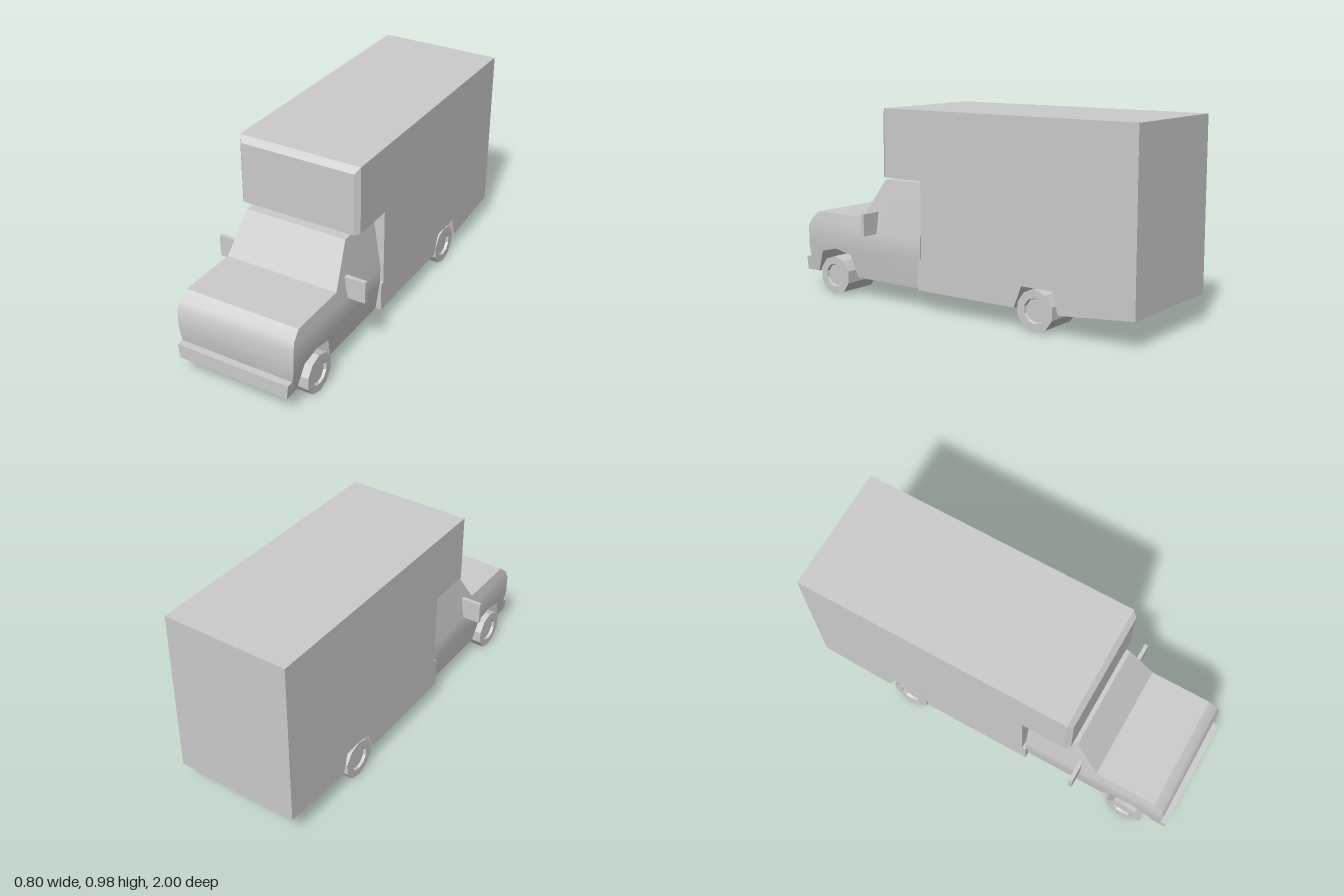
import * as THREE from 'three';
import { mergeGeometries, toCreasedNormals } from 'three/addons/utils/BufferGeometryUtils.js';

const FRONT_AXLE = 0.775, REAR_AXLE = -0.48, WELL_X = 0.11, HALF = 0.32;

// Extrude a side profile of [z, y] points across x0..x1
function slab(profile, x0, x1) {
  const shape = new THREE.Shape(profile.map(([z, y]) => new THREE.Vector2(z, y)));
  return new THREE.ExtrudeGeometry(shape, { depth: x1 - x0, bevelEnabled: false, steps: 1 })
    .rotateY(-Math.PI / 2).translate(x1, 0, 0);
}

// Move every vertex by a rule
function deform(geometry, rule) {
  const p = geometry.attributes.position, v = new THREE.Vector3();
  for (let i = 0; i < p.count; i++) {
    rule(v.fromBufferAttribute(p, i));
    p.setXYZ(i, v.x, v.y, v.z);
  }
  geometry.computeVertexNormals();
  return geometry;
}

// Lower body: solid middle with wheel wells that narrow inward on both sides
function lowerBody(outline, arch, axle) {
  const narrow = (v) => {
    const onArch = arch.some(([z, y]) => Math.abs(z - v.z) < 1e-4 && Math.abs(y - v.y) < 1e-4);
    if (onArch && Math.abs(v.x) < WELL_X + 0.01) v.z = axle + (v.z - axle) * 0.85;
  };
  const withArch = [...outline, ...arch];
  return [
    slab(outline, -WELL_X, WELL_X),
    deform(slab(withArch, WELL_X, HALF), narrow),
    deform(slab(withArch, -HALF, -WELL_X), narrow),
  ];
}

// Half width of the cab at height y
function cabHalfWidth(y) {
  if (y < 0.25) return THREE.MathUtils.mapLinear(y, 0.1, 0.25, 0.29, 0.31);
  if (y < 0.34) return 0.31;
  return THREE.MathUtils.mapLinear(y, 0.34, 0.62, 0.31, 0.267);
}

export function createModel() {
  const group = new THREE.Group();
  const grey = new THREE.MeshStandardMaterial({ color: 0xcccccc });
  const flat = new THREE.MeshStandardMaterial({ color: 0xcccccc, flatShading: true });
  const add = (name, geometry, material = flat) => {
    const mesh = new THREE.Mesh(geometry, material);
    mesh.name = name;
    group.add(mesh);
    return mesh;
  };
  const box = (x0, x1, y0, y1, z0, z1) => new THREE.BoxGeometry(x1 - x0, y1 - y0, z1 - z0)
    .translate((x0 + x1) / 2, (y0 + y1) / 2, (z0 + z1) / 2);

  // Cargo box with an overhang above the cab
  add('cargoBox', slab([[-1, 0.25], [0.19, 0.25], [0.19, 0.64], [0.415, 0.64], [0.415, 0.98], [-1, 0.98]], -HALF, HALF));
  const rearArch = [[-0.605, 0.1], [-0.575, 0.205], [-0.405, 0.205], [-0.365, 0.1]];
  const cargoOutline = [[0.19, 0.1], [0.19, 0.25], [-1, 0.25], [-1, 0.133], [-0.62, 0.1]];
  add('cargoLowerBody', mergeGeometries(lowerBody(cargoOutline, rearArch, REAR_AXLE)));

  // Bevelled front of the overhang
  add('overhangFront', deform(box(-HALF, HALF, 0.64, 0.98, 0.415, 0.44), (v) => {
    if (v.z > 0.43) {
      v.x = Math.sign(v.x) * 0.3;
      v.y = Math.min(v.y, 0.95);
    }
  }));

  // Cab in height bands, so that each side panel stays flat as the width changes
  const frontArch = [[0.64, 0.1], [0.675, 0.215], [0.775, 0.238], [0.875, 0.215], [0.92, 0.1]];
  const cabLower = [[0.945, 0.1], [0.965, 0.17], [0.97, 0.25], [0.205, 0.25], [0.205, 0.1]];
  const cabMiddle = [[0.205, 0.25], [0.97, 0.25], [0.968, 0.34], [0.205, 0.34]];
  const cabUpper = [[0.205, 0.34], [0.968, 0.34], [0.95, 0.38], [0.905, 0.42], [0.59, 0.42], [0.46, 0.62], [0.205, 0.62]];
  const cabParts = [
    ...lowerBody(cabLower, frontArch, FRONT_AXLE),
    slab(cabMiddle, -HALF, HALF),
    slab(cabUpper, -HALF, HALF),
  ].map((g) => deform(g, (v) => {
    if (Math.abs(v.x) > 0.2) v.x = Math.sign(v.x) * cabHalfWidth(v.y);
  }));
  add('cab', toCreasedNormals(mergeGeometries(cabParts), 0.55), grey);

  // Link between cab and cargo box
  add('chassisLink', box(-HALF, HALF, 0.1, 0.25, 0.185, 0.21));

  // Front bumper, slightly narrower at the bottom
  add('frontBumper', deform(box(-0.298, 0.298, 0.1, 0.172, 0.93, 1), (v) => {
    if (v.y < 0.15) v.x *= 0.975;
  }));

  // Side mirrors
  for (const side of [1, -1]) {
    add(side > 0 ? 'leftMirror' : 'rightMirror',
      box(0.29, 0.4, 0.347, 0.458, 0.49, 0.51).translate(side > 0 ? 0 : -0.69, 0, 0));
  }

  // Ten-sided wheels with a recessed hub
  const profile = [[0, 0], [0.1, 0], [0.1, 0.205], [0.06, 0.205], [0.056, 0.192], [0, 0.192]]
    .map(([r, y]) => new THREE.Vector2(r, y));
  const wheel = new THREE.LatheGeometry(profile, 10, Math.PI / 2)
    .rotateZ(-Math.PI / 2).translate(0.114, 0, 0);
  for (const [end, z] of [['front', FRONT_AXLE], ['rear', REAR_AXLE]]) {
    for (const side of ['Left', 'Right']) {
      const mesh = add(`${end}${side}Wheel`, wheel);
      mesh.position.set(0, 0.1, z);
      if (side === 'Right') mesh.rotation.y = Math.PI;
    }
  }
  return group;
}
